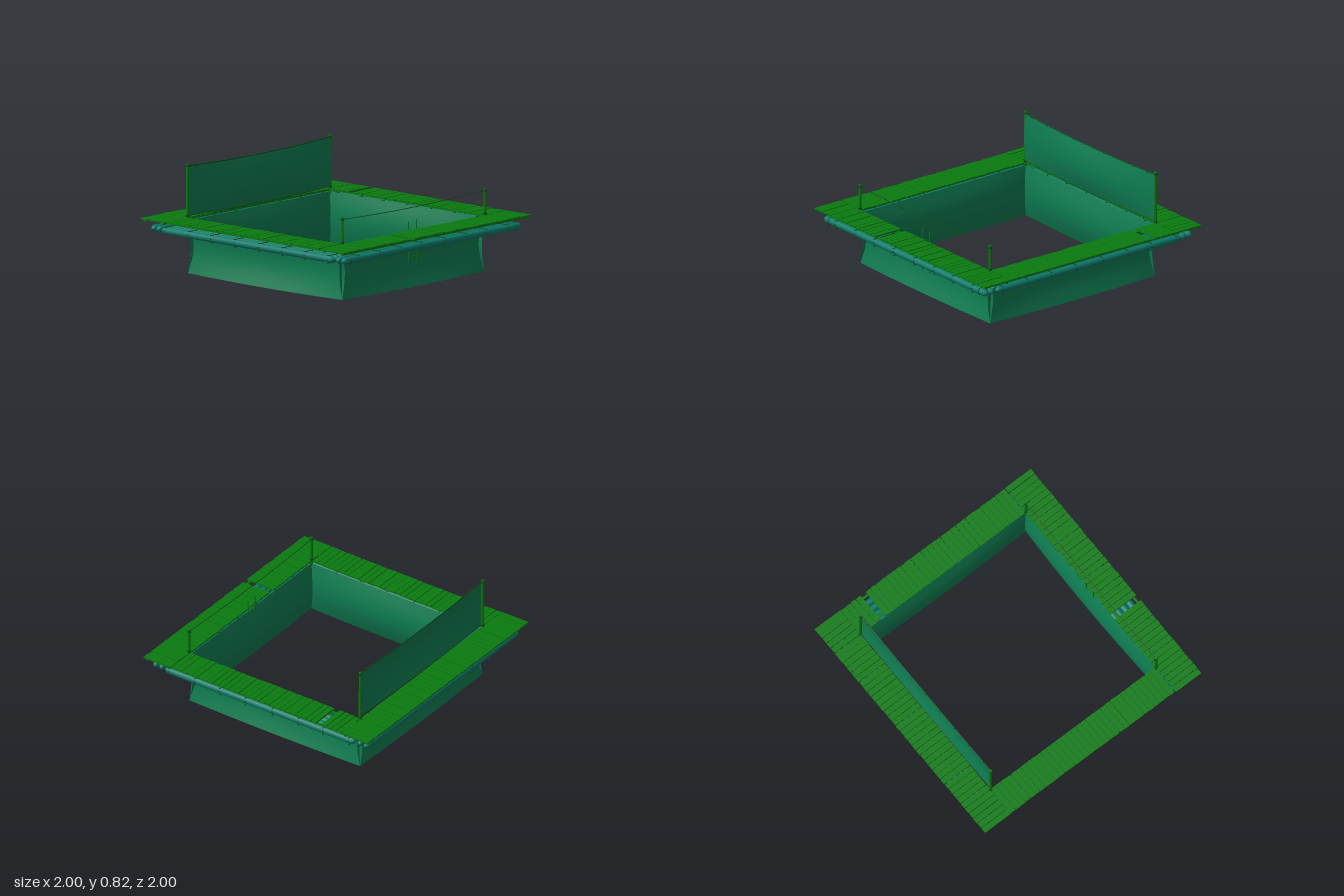
import * as THREE from 'three';

const paint = (color, side = THREE.FrontSide) => new THREE.MeshStandardMaterial({ color, side });

export function createModel() {
  const model = new THREE.Group();
  const wood = paint(0x0b7a10);
  const floatMat = paint(0x0c7a68);
  const netMat = paint(0x0e7a50, THREE.DoubleSide);
  const rope = paint(0x0a4a1c);

  let seed = 7;
  const rand = () => (seed = (seed * 16807) % 2147483647) / 2147483647 - 0.5;

  const add = (parent, geo, mat, name, x = 0, y = 0, z = 0) => {
    const m = new THREE.Mesh(geo, mat);
    m.name = name;
    m.position.set(x, y, z);
    parent.add(m);
    return m;
  };
  const box = (parent, name, w, h, d, x, y, z, mat = wood) =>
    add(parent, new THREE.BoxGeometry(w, h, d), mat, name, x, y, z);
  const group = (name, angle = 0) => {
    const g = new THREE.Group();
    g.name = name;
    g.rotation.y = angle;
    model.add(g);
    return g;
  };

  // Deck: rows of slightly uneven planks, one missing in front and one at the left
  const plankRow = (name, n, from, to, across, alongX, missing) => {
    const g = group(name);
    const pitch = (to - from) / n;
    for (let i = 0; i < n; i++) {
      if (i === missing) continue;
      const p = from + (i + 0.5) * pitch + rand() * 0.003;
      const w = pitch * 0.91 + rand() * 0.003;
      const len = 0.236 + rand() * 0.008;
      const y = 0.417 + rand() * 0.004;
      const m = alongX
        ? box(g, 'plank', w, 0.012, len, p, y, across)
        : box(g, 'plank', len, 0.012, w, across, y, p);
      m.rotation.y = rand() * 0.012;
    }
  };
  plankRow('frontDeck', 42, -1, 1, 0.876, true, 15);
  plankRow('backDeck', 42, -1, 1, -0.88, true, -1);
  plankRow('leftDeck', 33, -0.76, 0.75, 0.877, false, 4);
  plankRow('rightDeck', 33, -0.76, 0.75, -0.877, false, -1);

  // Stringers under the planks
  const stringers = group('stringers');
  for (const s of [-1, 1]) {
    for (const d of [0.79, 0.97]) {
      box(stringers, 'stringer', 1.99, 0.012, 0.016, 0, 0.405, s * d);
      box(stringers, 'stringer', 0.016, 0.01, 1.5, s * d, 0.406, 0);
    }
  }

  // Floats: four parallel tubes with tapered ends on each side
  const floatGeo = (half) => {
    const r = 0.0265;
    const pts = [[0, -half], [0.012, -half + 0.003], [r, -half + 0.025], [r, half - 0.025], [0.012, half - 0.003], [0, half]]
      .map(([a, b]) => new THREE.Vector2(a, b));
    return new THREE.LatheGeometry(pts, 16);
  };
  const offsets = [0.936, 0.883, 0.83, 0.787];
  for (let side = 0; side < 4; side++) {
    const g = group('floatBank', side * Math.PI / 2);
    const endBank = side % 2 === 0;
    offsets.forEach((o, i) => {
      const half = endBank ? (i < 2 ? 0.95 : 0.755) : 0.845;
      add(g, floatGeo(half), floatMat, 'floatTube', 0, 0.343, o).rotation.z = Math.PI / 2;
    });
    // Lashings around the tubes
    for (const x of [-0.8, -0.57, -0.35, -0.12, 0.12, 0.35, 0.57, 0.8]) {
      const inside = Math.abs(x) < 0.76;
      const depth = inside || !endBank ? 0.2 : 0.1;
      const z = 0.963 - depth / 2;
      for (const y of [0.3155, 0.3705]) box(g, 'lashing', 0.006, 0.004, depth, x, y, z, rope);
      box(g, 'lashing', 0.006, 0.012, 0.004, x, 0.343, 0.9625, rope);
    }
    if (endBank) for (const x of [-0.88, 0.88]) for (const o of offsets.slice(0, 2)) {
      add(g, new THREE.TorusGeometry(0.0275, 0.003, 6, 16), rope, 'tubeRing', x, 0.343, o).rotation.y = Math.PI / 2;
    }
  }

  // Net cloth: a sheet whose vertices are placed by a rule of (u in -1..1, v in 0..1)
  const sheet = (rule) => {
    const geo = new THREE.PlaneGeometry(2, 1, 32, 14);
    const p = geo.attributes.position;
    for (let i = 0; i < p.count; i++) p.setXYZ(i, ...rule(p.getX(i), p.getY(i) + 0.5));
    geo.computeVertexNormals();
    return geo;
  };

  // Pool walls, bowed inward at half height
  for (let side = 0; side < 4; side++) {
    const g = group('poolWall', side * Math.PI / 2);
    add(g, sheet((u, v) => {
      const sag = 1 - u * u;
      const low = 0.012 - 0.01 * sag;
      return [u * 0.76, low + v * (0.4 - low), 0.76 - Math.sin(Math.PI * v) * (0.028 + 0.022 * sag)];
    }), netMat, 'wallNet');
  }

  // Raised net at the back, sagging and bellied towards the pool
  const topY = (u) => 0.803 - 0.018 * (1 - u * u);
  add(model, sheet((u, v) => {
    const low = 0.438 - 0.014 * (1 - u * u);
    return [u * 0.76, low + v * (topY(u) - low), -0.757 + Math.sin(Math.PI * v) * (0.01 + 0.028 * (1 - u * u))];
  }), netMat, 'backNet');

  // Ropes along the raised net and across the front
  const line = (name, y, sag, z, r) => {
    const pts = [-1, -0.5, 0, 0.5, 1].map((u) => new THREE.Vector3(u * 0.76, y - sag * (1 - u * u), z));
    add(model, new THREE.TubeGeometry(new THREE.CatmullRomCurve3(pts), 32, r, 6), rope, name);
  };
  line('backTopRope', 0.803, 0.018, -0.757, 0.004);
  line('backBottomRope', 0.438, 0.014, -0.757, 0.003);
  line('frontRope', 0.605, 0.016, 0.76, 0.0025);
  for (let i = -4; i <= 4; i++) {
    const u = i * 0.222;
    add(model, new THREE.TorusGeometry(0.008, 0.003, 6, 12), rope, 'netRing', u * 0.76, topY(u) - 0.003, -0.757);
  }

  // Corner posts with rope wraps
  for (const x of [-0.762, 0.762]) {
    for (const [z, top, tie] of [[-0.762, 0.82, 0.803], [0.762, 0.622, 0.605]]) {
      const h = top - 0.38;
      add(model, new THREE.CylinderGeometry(0.01, 0.012, h, 10), wood, 'post', x, 0.38 + h / 2, z);
      for (const y of [tie, 0.435]) add(model, new THREE.CylinderGeometry(0.014, 0.014, 0.012, 10), rope, 'postWrap', x, y, z);
    }
  }

  // Ladder on the front edge
  const ladder = group('ladder');
  for (const x of [-0.042, 0.042])
    add(ladder, new THREE.CylinderGeometry(0.004, 0.004, 0.315, 8), wood, 'ladderRail', x, 0.335, 0.752);
  for (const y of [0.225, 0.28, 0.335, 0.39])
    add(ladder, new THREE.CylinderGeometry(0.004, 0.004, 0.084, 8), wood, 'rung', 0, y, 0.752).rotation.z = Math.PI / 2;

  return model;
}
